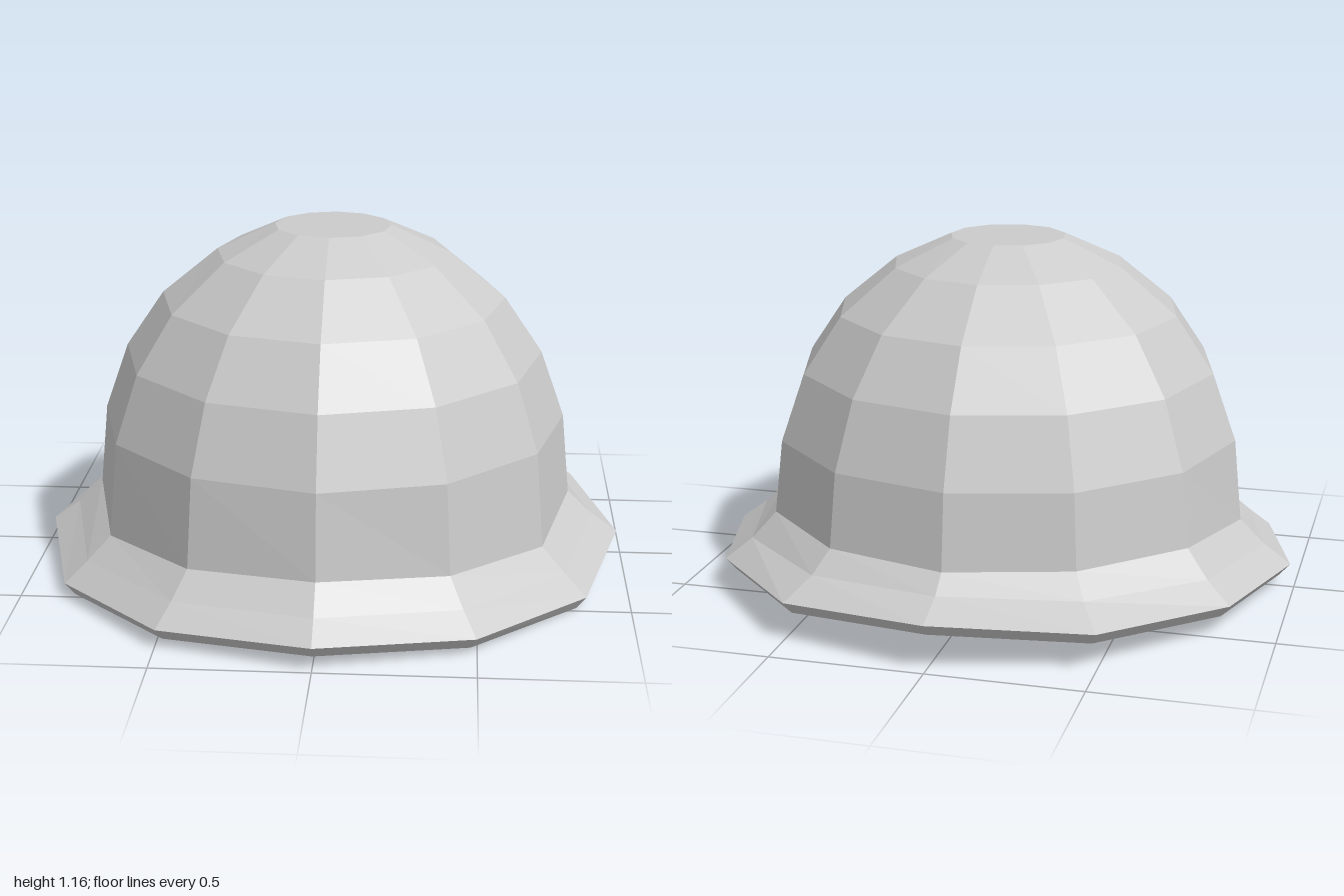
import * as THREE from 'three';

const SIDES = 12;
const material = new THREE.MeshStandardMaterial({ color: 0xcccccc, flatShading: true });

// Wavy rings: radius and height at each step from the front (0) round to the back (6)
const seam = {
  r: [0.83, 0.825, 0.82, 0.812, 0.807, 0.803, 0.803],
  y: [0.222, 0.205, 0.185, 0.225, 0.255, 0.255, 0.253],
};
const slope = {
  r: [0.915, 0.91, 0.905, 0.895, 0.89, 0.88, 0.87],
  y: [0.14, 0.125, 0.11, 0.145, 0.17, 0.185, 0.2],
};
const edge = {
  r: [1, 0.994, 0.986, 0.985, 0.982, 1, 1],
  y: [0.08, 0.06, 0.045, 0.08, 0.105, 0.125, 0.155],
};
const edgeUnder = {
  r: edge.r.map((r) => r - 0.035),
  y: [0.038, 0.018, 0, 0.04, 0.063, 0.083, 0.113],
};
const opening = {
  r: seam.r.map((r) => r - 0.135),
  y: seam.y.map((y) => y + 0.015),
};

// A level ring, set slightly towards the front
const level = ([r, y]) => ({
  r: Array.from({ length: 7 }, (_, k) => (r ? r + 0.012 * Math.cos((k * Math.PI) / 6) : 0)),
  y: Array(7).fill(y),
});

// Faceted strip through rings; a ring of radius 0 closes the strip with a flat cap
function strip(name, rings) {
  const positions = [];
  const index = [];
  for (const ring of rings) {
    for (let k = 0; k < SIDES; k++) {
      const a = (k / SIDES) * Math.PI * 2;
      const m = Math.min(k, SIDES - k);
      positions.push(ring.r[m] * Math.sin(a), ring.y[m], ring.r[m] * Math.cos(a));
    }
  }
  for (let i = 0; i < rings.length - 1; i++) {
    for (let k = 0; k < SIDES; k++) {
      const n = (k + 1) % SIDES;
      const a = i * SIDES + k, b = a + SIDES;
      const c = (i + 1) * SIDES + n, d = i * SIDES + n;
      if (rings[i + 1].r[0] > 0) index.push(a, b, c);
      else index.push(a, b, d);
      if (rings[i].r[0] > 0 && rings[i + 1].r[0] > 0) index.push(a, c, d);
    }
  }
  const indexed = new THREE.BufferGeometry();
  indexed.setAttribute('position', new THREE.Float32BufferAttribute(positions, 3));
  indexed.setIndex(index);
  const geometry = indexed.toNonIndexed();
  geometry.computeVertexNormals();
  const mesh = new THREE.Mesh(geometry, material);
  mesh.name = name;
  return mesh;
}

export function createModel() {
  const group = new THREE.Group();
  group.name = 'helmet';

  // Domed crown with a flat top
  const dome = [[0, 1.156], [0.195, 1.156], [0.39, 1.066], [0.578, 0.912], [0.705, 0.725], [0.785, 0.5]];
  group.add(strip('crown', [...dome.map(level), seam]));

  // Flared brim: top, thin edge and one straight slope underneath
  group.add(strip('brim', [seam, slope, edge, edgeUnder, opening]));

  // Hollow inside of the crown, narrower than the outside
  const hollow = [[0.66, 0.48], [0.595, 0.67], [0.49, 0.83], [0.33, 0.96], [0.165, 1.04], [0, 1.04]];
  group.add(strip('lining', [opening, ...hollow.map(level)]));

  return group;
}
